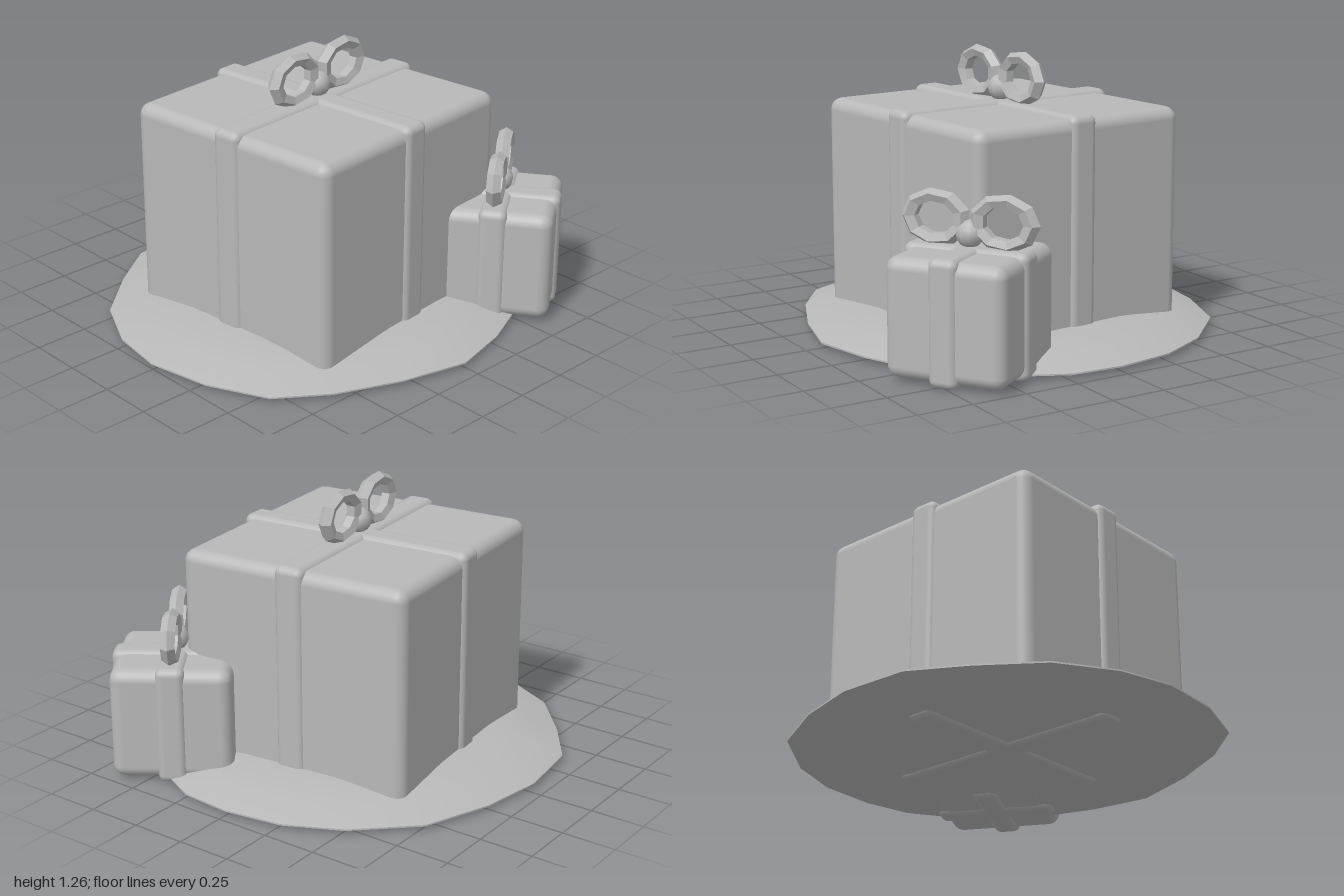
import * as THREE from 'three';
import { RoundedBoxGeometry } from 'three/addons/geometries/RoundedBoxGeometry.js';

const grey = new THREE.MeshStandardMaterial({ color: 0xb8b8b8 });
grey.name = 'grey';
const greyFlat = grey.clone(); // same colour, faceted for the bow loops
greyFlat.flatShading = true;

function add(parent, name, geometry, material = grey) {
  const mesh = new THREE.Mesh(geometry, material);
  mesh.name = name;
  parent.add(mesh);
  return mesh;
}

// Bow: two faceted loops and a round knot, standing on y = 0
function makeBow() {
  const bow = new THREE.Group();
  bow.name = 'bow';
  for (const side of [1, -1]) {
    const loop = add(bow, side > 0 ? 'bowLoopLeft' : 'bowLoopRight',
      new THREE.TorusGeometry(0.11, 0.034, 5, 9), greyFlat);
    loop.scale.set(1.12, 0.86, 1);
    loop.position.set(side * 0.155, 0.112, 0);
    loop.rotation.y = side > 0 ? 0 : Math.PI;
  }
  const knot = add(bow, 'bowKnot', new THREE.SphereGeometry(0.06, 10, 8));
  knot.position.y = 0.055;
  return bow;
}

// Gift: rounded box wrapped by two crossing ribbons, with a bow on top
function makeGift(name, w, h, d, ribbonWidth, lift) {
  const gift = new THREE.Group();
  gift.name = name;
  const box = add(gift, 'box', new RoundedBoxGeometry(w, h, d, 3, 0.055));
  const ribbonA = add(gift, 'ribbonFrontBack',
    new RoundedBoxGeometry(ribbonWidth, h + 2 * lift, d + 2 * lift, 3, 0.035));
  const ribbonB = add(gift, 'ribbonSides',
    new RoundedBoxGeometry(w + 2 * lift, h + 2 * lift, ribbonWidth, 3, 0.035));
  for (const part of [box, ribbonA, ribbonB]) part.position.y = h / 2 + lift;
  const bow = makeBow();
  bow.position.y = h + 2 * lift - 0.005;
  gift.add(bow);
  return gift;
}

// Snow mound: an uneven outline shrunk ring by ring towards the peak, with a flat underside
function makeMound() {
  const outline = [
    [0.96, 0], [0.94, 0.24], [0.8, 0.52], [0.56, 0.74], [0.28, 0.86], [0, 0.925],
    [-0.31, 0.845], [-0.6, 0.72], [-0.82, 0.56], [-0.945, 0.29], [-1, -0.01],
    [-0.96, -0.27], [-0.83, -0.53], [-0.59, -0.74], [-0.36, -0.9], [-0.04, -0.94],
    [0.26, -0.89], [0.57, -0.77], [0.8, -0.52], [0.92, -0.27],
  ];
  const rings = [[0, 0.018], [1, 0.018], [1, 0.025], [0.85, 0.066], [0.65, 0.1], [0, 0.108]];
  const n = outline.length;
  const positions = [];
  const point = (ring, i) => {
    const [s, y] = rings[ring];
    const [x, z] = outline[i % n];
    return [x * s, y, z * s];
  };
  const index = [];
  // each band has its own vertices at the rim so that the underside stays crisp
  const band = (from, to) => {
    const base = positions.length / 3;
    for (let r = from; r <= to; r++) {
      for (let i = 0; i < n; i++) positions.push(...point(r, i));
    }
    for (let r = 0; r < to - from; r++) {
      for (let i = 0; i < n; i++) {
        const j = (i + 1) % n;
        const a = base + r * n + i, b = base + r * n + j;
        index.push(a, a + n, b, b, a + n, b + n);
      }
    }
  };
  band(0, 1);
  band(1, 2);
  band(2, 5);
  const geometry = new THREE.BufferGeometry();
  geometry.setAttribute('position', new THREE.Float32BufferAttribute(positions, 3));
  geometry.setIndex(index);
  geometry.computeVertexNormals();
  return geometry;
}

export function createModel() {
  const model = new THREE.Group();
  model.name = 'giftPile';

  add(model, 'snowMound', makeMound());

  const large = makeGift('largeGift', 1.18, 0.995, 1.12, 0.14, 0.016);
  large.position.set(-0.015, 0, 0);
  large.rotation.y = 0.095;
  model.add(large);

  const small = makeGift('smallGift', 0.54, 0.515, 0.54, 0.13, 0.014);
  small.position.set(0.63, 0, 0.542);
  small.rotation.y = 0.6;
  model.add(small);

  return model;
}
